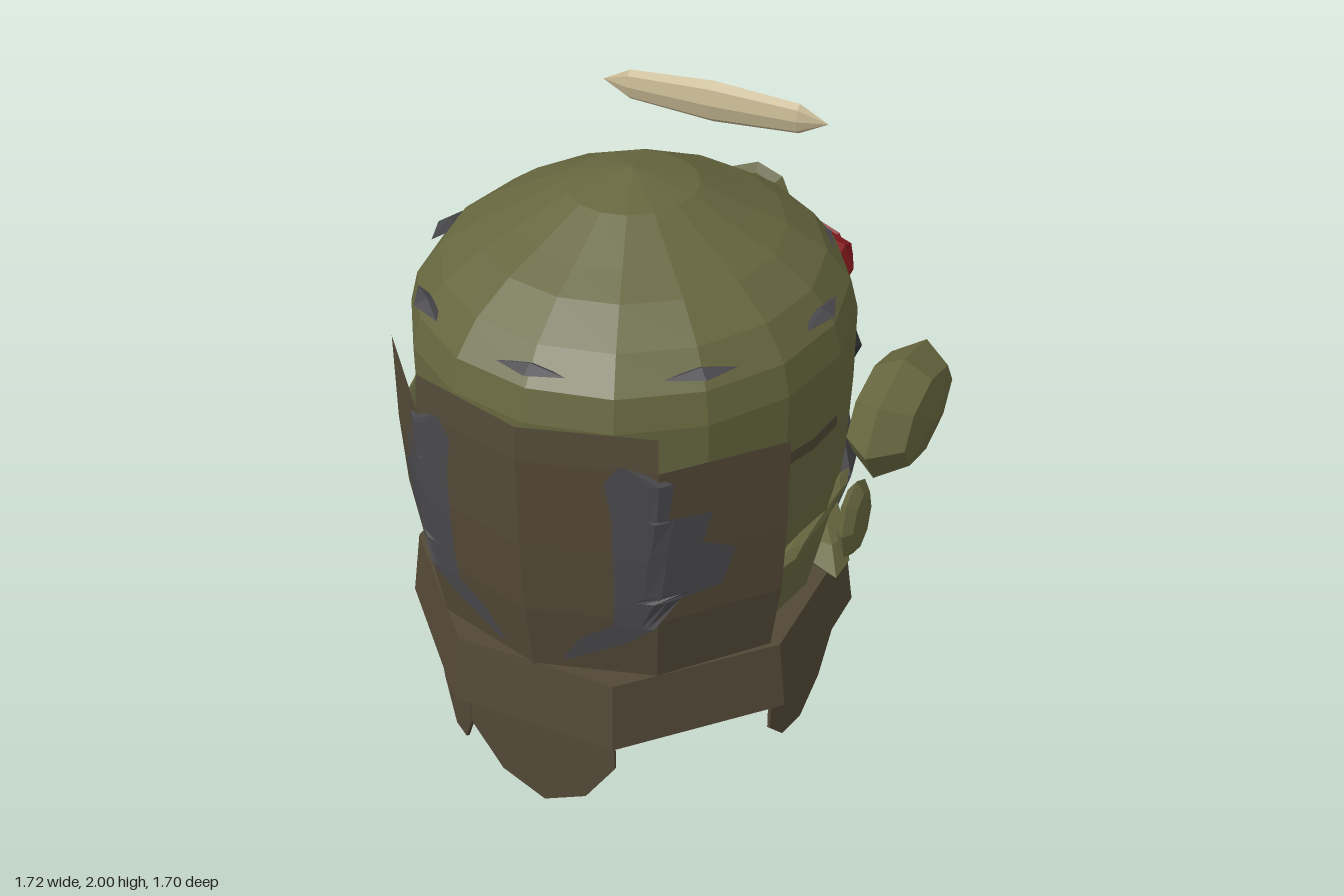
import * as THREE from 'three';

const mat = (name, color, side = THREE.FrontSide) => {
  const m = new THREE.MeshStandardMaterial({ color, side });
  m.name = name;
  return m;
};

export function createModel() {
  const olive = mat('olive', 0x66663f);
  const brown = mat('brown', 0x524836);
  const grey = mat('grey', 0x48484c, THREE.DoubleSide);
  const black = mat('black', 0x272a2b);
  const red = mat('red', 0x84191e);
  const darkRed = mat('dark red', 0x6e0a0d);
  const ivory = mat('ivory', 0xc2b48e);

  const model = new THREE.Group();
  model.name = 'model';
  // Everything turning round the body's axis lives in this group
  const body = new THREE.Group();
  body.name = 'body';
  body.position.set(-0.06, 0, 0.12);
  model.add(body);

  const rad = THREE.MathUtils.degToRad;
  const vec = list => list.map(p => new THREE.Vector2(...p));
  const around = (deg, r, y) => [Math.sin(rad(deg)) * r, y, Math.cos(rad(deg)) * r];

  // Faceted mesh
  function add(parent, name, geometry, material) {
    const g = geometry.index ? geometry.toNonIndexed() : geometry;
    g.computeVertexNormals();
    const mesh = new THREE.Mesh(g, material);
    mesh.name = name;
    parent.add(mesh);
    return mesh;
  }
  // Faceted pebble with its poles along x or z, given centre and half sizes
  const pebble = vec([[0, -1], [0.72, -0.75], [1, 0], [0.72, 0.75], [0, 1]]);
  function blob(parent, name, material, [x, y, z], [a, b, c], { pole = 'z', turn = 0, tilt = 0 } = {}) {
    const g = new THREE.LatheGeometry(pebble, 8);
    if (pole === 'x') g.rotateZ(-Math.PI / 2);
    else g.rotateX(Math.PI / 2);
    const mesh = add(parent, name, g.scale(a, b, c), material);
    mesh.position.set(x, y, z);
    mesh.rotation.set(0, turn, tilt);
  }

  // Domed olive body
  const dome = [[0.58, 0.5], [0.61, 0.62], [0.65, 0.8], [0.67, 1.0], [0.68, 1.25], [0.68, 1.5], [0.655, 1.6],
    [0.58, 1.7], [0.46, 1.785], [0.36, 1.835], [0.2, 1.92], [0, 1.97]];
  add(body, 'dome', new THREE.LatheGeometry(vec(dome), 16).scale(1, 1, 1.05).translate(0, 0, -0.03), olive);

  // Brown plate wrapped round the front, with a narrower top step
  const plate = [[0.68, 0.6], [0.72, 0.85], [0.735, 1.1], [0.735, 1.4]];
  const half = rad(65);
  add(body, 'frontPlate', new THREE.LatheGeometry(vec(plate), 4, -half, 2 * half), brown);
  add(body, 'frontPlateTop', new THREE.LatheGeometry(vec([[0.735, 1.4], [0.725, 1.51]]), 2, -half / 2, half), brown);
  // Short side bands that continue the plate
  for (const start of [65, -90]) {
    add(body, 'sideBand', new THREE.CylinderGeometry(0.69, 0.69, 0.04, 2, 1, true, rad(start), rad(25)).translate(0, 1.29, 0), brown);
  }

  // Grey straps that follow the plate's facets
  const plateRadius = y => {
    for (let i = 1; i < plate.length; i++) {
      const [r0, y0] = plate[i - 1], [r1, y1] = plate[i];
      if (y <= y1) return THREE.MathUtils.lerp(r0, r1, (y - y0) / (y1 - y0));
    }
    return plate.at(-1)[0];
  };
  const plateDepth = (x, y) => {
    const r = plateRadius(y), u = x / r;
    const s = Math.sin(half / 2), c = Math.cos(half / 2);
    return u < s ? r * (1 - (1 - c) * u / s)
      : r * (c + (Math.cos(half) - c) * (u - s) / (Math.sin(half) - s));
  };
  // Rows of height, inner edge, outer edge
  const strapRows = [[1.42, 0.29, 0.31], [1.36, 0.25, 0.43], [1.24, 0.27, 0.42], [1.23, 0.27, 0.51],
    [1.13, 0.27, 0.49], [1.08, 0.27, 0.56], [0.95, 0.27, 0.53], [0.93, 0.27, 0.44],
    [0.83, 0.26, 0.38], [0.76, 0.16, 0.3], [0.66, 0.1, 0.12]];
  for (const side of [-1, 1]) {
    const g = new THREE.PlaneGeometry(1, 1, 6, strapRows.length - 1);
    const p = g.attributes.position;
    for (let i = 0; i < p.count; i++) {
      const [y, a, b] = strapRows[Math.floor(i / 7)];
      const x = THREE.MathUtils.lerp(a, b, (i % 7) / 6);
      p.setXYZ(i, side * x, y, plateDepth(x, y) + 0.014);
    }
    if (side < 0) g.index.array.reverse();
    add(body, 'frontStrap', g, grey);
  }

  // Ring of small grey studs below the crown
  for (let k = 0; k < 8; k++) {
    const stud = add(body, 'stud', new THREE.OctahedronGeometry(1).scale(0.11, 0.02, 0.04), grey);
    stud.position.set(...around(k * 45, 0.625, 1.645));
    stud.rotation.y = k * Math.PI / 4;
  }

  // Eight-sided belt, hollow underside and hanging flaps
  const skirt = new THREE.Group();
  skirt.name = 'skirt';
  skirt.scale.z = 1.05;
  body.add(skirt);
  const corner = Math.PI / 8;
  add(skirt, 'belt', new THREE.CylinderGeometry(0.7, 0.73, 0.23, 8, 1, false, corner).translate(0, 0.495, 0), brown);
  add(skirt, 'underside', new THREE.LatheGeometry(vec([[0, 0.375], [0.65, 0.24]]), 8, corner), brown);
  // Direction and drop below the hem
  for (const [deg, drop] of [[0, 0.235], [90, 0.17], [180, 0.17], [225, 0.17], [315, 0.235]]) {
    const outline = [[-0.255, 0.16], [-0.255, 0], [-0.15, -0.68 * drop], [0, -drop],
      [0.15, -0.68 * drop], [0.255, 0], [0.255, 0.16]];
    const g = new THREE.ExtrudeGeometry(new THREE.Shape(vec(outline)), { depth: 0.01, bevelEnabled: false });
    const flap = add(skirt, 'flap', g, brown);
    flap.position.set(...around(deg, 0.61, 0.24));
    flap.rotation.y = rad(deg);
  }

  // Paired parts on the sides and back
  for (const s of [-1, 1]) {
    blob(body, 'ear', olive, [s * 0.765, 0.945, 0], [0.035, 0.14, 0.11], { pole: 'x' });
    blob(body, 'sideRidge', olive, [s * 0.635, 0.905, 0], [0.035, 0.03, 0.3], { pole: 'x' });
    blob(body, 'backPad', grey, around(s * 146, 0.65, 0.82), [0.31, 0.33, 0.11], { turn: rad(s * 146) });
    blob(body, 'hipPad', olive, around(s * 122, 0.625, 0.635), [0.31, 0.09, 0.08], { turn: rad(s * 122) });
    blob(body, 'hipStud', black, around(s * 137, 0.68, 0.46), [0.18, 0.04, 0.08], { turn: rad(s * 137) });
    // Eyes
    blob(body, 'eye', black, [s * 0.355, 1.02, -0.83], [0.115, 0.11, 0.03]);
    blob(body, 'pupil', ivory, [s * 0.355, 1.02, -0.856], [0.04, 0.04, 0.012]);
  }

  // Large pod on the left side
  blob(model, 'pod', olive, [0.73, 1.18, -0.18], [0.125, 0.18, 0.31], { pole: 'x' });

  // Floating ivory bars
  blob(model, 'upperBar', ivory, [-0.06, 1.93, -0.49], [0.39, 0.07, 0.04], { pole: 'x' });
  blob(model, 'lowerBar', ivory, [-0.09, 1.22, -0.7], [0.39, 0.05, 0.035], { pole: 'x' });

  // Olive knobs and snout pieces on the back
  blob(model, 'knob', olive, [-0.53, 1.42, -0.655], [0.125, 0.12, 0.02]);
  blob(model, 'knob', olive, [0.03, 1.54, -0.655], [0.125, 0.12, 0.02]);
  blob(model, 'snout', olive, [-0.34, 0.78, -0.8], [0.15, 0.12, 0.025]);
  blob(model, 'nose', olive, [-0.07, 0.77, -0.76], [0.06, 0.11, 0.03]);
  blob(model, 'noseBridge', olive, [-0.08, 0.99, -0.7], [0.08, 0.03, 0.03]);

  // Red mouth, tongue and ball
  blob(model, 'mouth', darkRed, [-0.05, 0.74, -0.655], [0.35, 0.17, 0.045], { tilt: 0.4 });
  blob(model, 'tongue', red, [0.12, 0.89, -0.715], [0.05, 0.32, 0.025]);
  blob(model, 'ball', red, [0.235, 1.33, -0.675], [0.14, 0.115, 0.12], { pole: 'x' });
  blob(model, 'ballPlate', red, [0.18, 1.28, -0.825], [0.12, 0.12, 0.022]);
  blob(model, 'redDrop', red, [0.25, 0.97, -0.79], [0.045, 0.125, 0.02]);

  return model;
}
